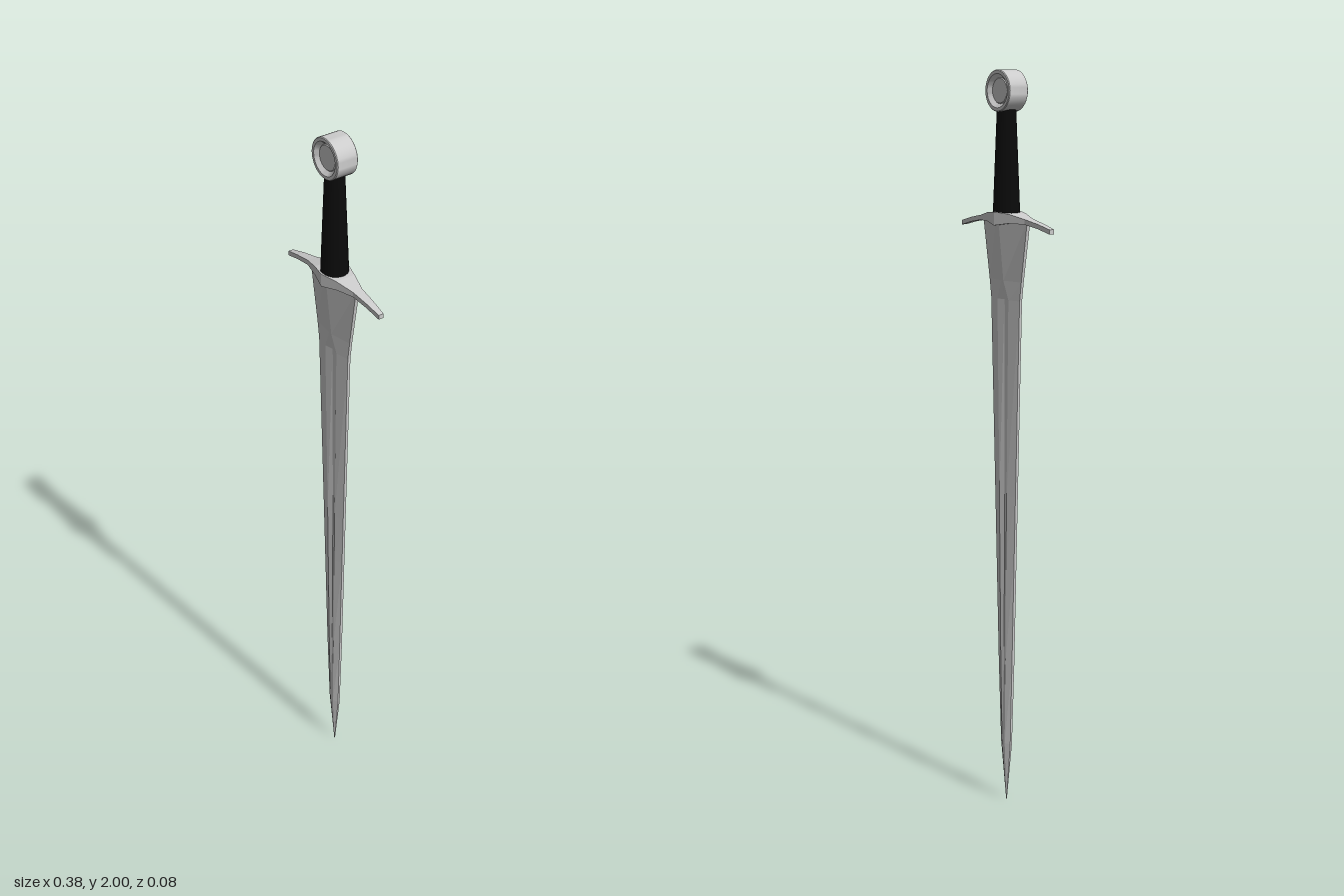
import * as THREE from 'three';
import { toCreasedNormals } from 'three/addons/utils/BufferGeometryUtils.js';

const steel = new THREE.MeshStandardMaterial({ color: 0xcccccc, flatShading: true });
const smoothSteel = new THREE.MeshStandardMaterial({ color: 0xcccccc });
const leather = new THREE.MeshStandardMaterial({ color: 0x0a0a0a });

// Skin a closed surface over equal-length loops of [x, y, z] points.
function loft(loops) {
  const n = loops[0].length;
  const index = [];
  for (let s = 0; s < loops.length - 1; s++) {
    for (let i = 0; i < n; i++) {
      const a = s * n + i, b = s * n + (i + 1) % n;
      index.push(a, b, b + n, a, b + n, a + n);
    }
  }
  const last = (loops.length - 1) * n;
  for (let i = 1; i < n - 1; i++) index.push(0, i + 1, i, last, last + i, last + i + 1);
  const geometry = new THREE.BufferGeometry();
  geometry.setAttribute('position', new THREE.Float32BufferAttribute(loops.flat(2), 3));
  geometry.setIndex(index);
  geometry.computeVertexNormals();
  return geometry;
}

function add(group, name, geometry, material) {
  const mesh = new THREE.Mesh(geometry, material);
  mesh.name = name;
  group.add(mesh);
  return mesh;
}

// Blade: half width, edge half thickness, fuller half width, rim z, centre z
function bladeGeometry() {
  const sections = [
    [0, 0.001, 0.0005, 0.0004, 0.001, 0.001],
    [0.17, 0.021, 0.003, 0.006, 0.011, 0.011],
    [0.40, 0.030, 0.004, 0.010, 0.012, 0.009],
    [0.72, 0.040, 0.004, 0.014, 0.012, 0.007],
    [0.88, 0.045, 0.004, 0.016, 0.012, 0.006],
    [1.41, 0.062, 0.004, 0.024, 0.012, 0.007],
    [1.46, 0.069, 0.004, 0.006, 0.015, 0.015],
    [1.62, 0.095, 0.005, 0.006, 0.031, 0.032],
  ];
  return loft(sections.map(([y, w, e, f, rim, mid]) => [
    [w, y, e], [w, y, -e], [f, y, -rim], [0, y, -mid], [-f, y, -rim],
    [-w, y, -e], [-w, y, e], [-f, y, rim], [0, y, mid], [f, y, rim],
  ]));
}

// Guard: x, bottom y, top y, half depth; drooping arms mirrored about x = 0
function guardGeometry() {
  const half = [
    [0, 1.605, 1.64, 0.041],
    [0.045, 1.612, 1.636, 0.028],
    [0.095, 1.612, 1.625, 0.014],
    [0.145, 1.604, 1.616, 0.0105],
    [0.19, 1.593, 1.605, 0.007],
  ];
  const mirrored = half.slice(1).reverse().map(([x, ...rest]) => [-x, ...rest]);
  return loft([...mirrored, ...half].map(([x, lo, hi, d]) => [
    [x, lo, -d], [x, hi, -d], [x, hi, d], [x, lo, d],
  ]));
}

// Pommel: thick disc with a dished recess on both faces
function pommelGeometry() {
  const face = [[0, 0.022], [0.031, 0.022], [0.033, 0.020], [0.043, 0.030], [0.051, 0.030], [0.053, 0.028]];
  const profile = [
    ...face.map(([r, z]) => new THREE.Vector2(r, -z)),
    ...face.slice().reverse().map(([r, z]) => new THREE.Vector2(r, z)),
  ];
  const geometry = toCreasedNormals(new THREE.LatheGeometry(profile, 40), 0.5);
  return geometry.rotateX(Math.PI / 2);
}

export function createModel() {
  const sword = new THREE.Group();
  sword.name = 'sword';

  add(sword, 'blade', bladeGeometry(), steel);
  add(sword, 'guard', guardGeometry(), steel);

  // Tapered grip
  const grip = add(sword, 'grip', new THREE.CylinderGeometry(0.025, 0.036, 0.275, 24), leather);
  grip.position.y = 1.7675;

  const pommel = add(sword, 'pommel', pommelGeometry(), smoothSteel);
  pommel.position.y = 1.947;

  return sword;
}
